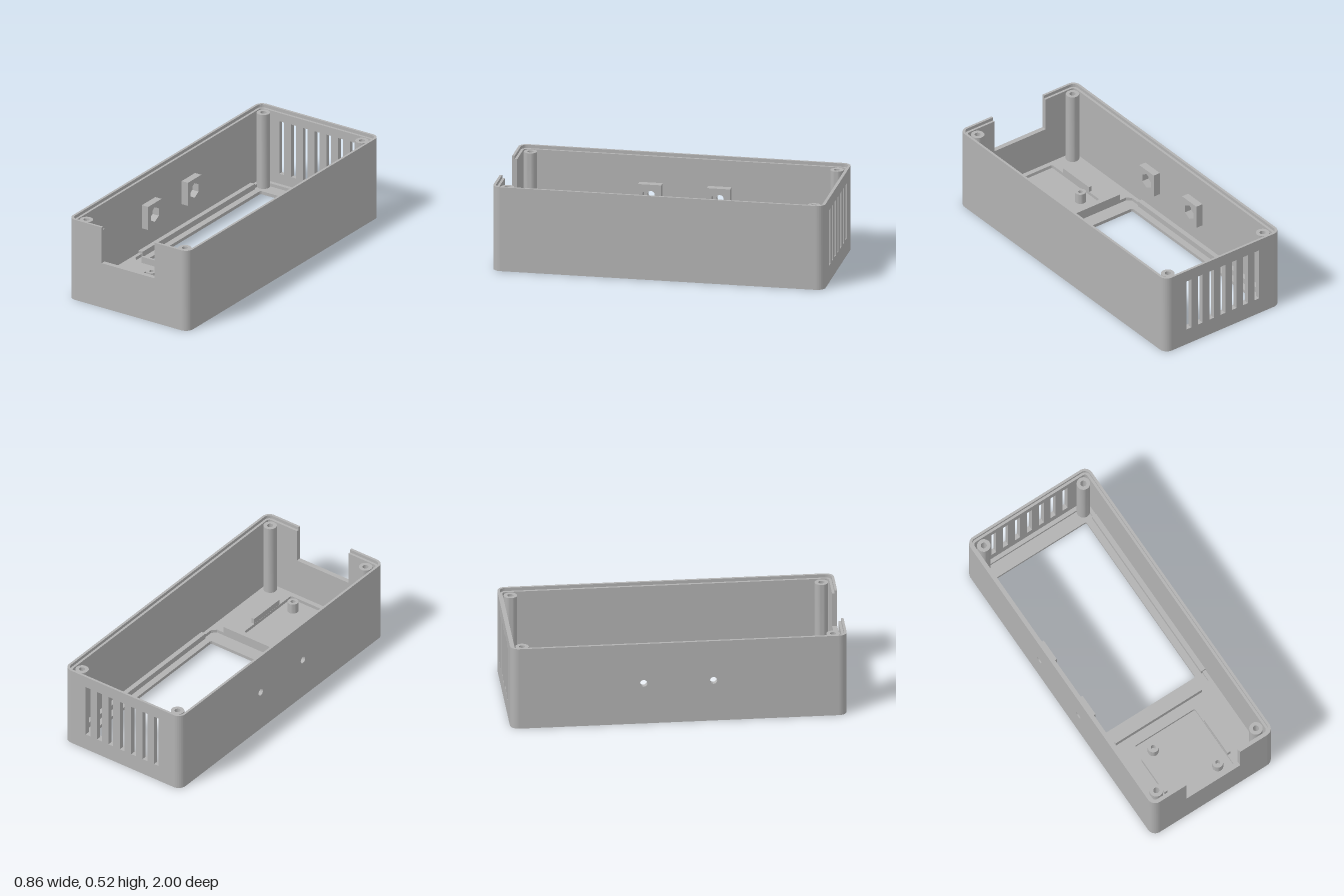
import * as THREE from 'three';
import { toCreasedNormals } from 'three/addons/utils/BufferGeometryUtils.js';

const W = 0.43, L = 1, R = 0.05, STEP = 0.015; // half width, half length, corner radius, half wall thickness
const RIM = 0.52, LEDGE = 0.5, FLOOR = 0.04, BASE = 0.02;

export function createModel() {
  const model = new THREE.Group();
  model.name = 'enclosure';
  const grey = new THREE.MeshStandardMaterial({ color: 0xb2b2b2 });
  grey.name = 'grey plastic';

  const add = (name, geometry) => {
    const mesh = new THREE.Mesh(toCreasedNormals(geometry, 0.6), grey);
    mesh.name = name;
    model.add(mesh);
    return mesh;
  };
  const extrude = (shape, depth) =>
    new THREE.ExtrudeGeometry(shape, { depth, bevelEnabled: false, curveSegments: 10 });
  // Horizontal plate: shape (x, z) filling heights y0..y1
  const plate = (name, shape, y0, y1) =>
    add(name, extrude(shape, y1 - y0).rotateX(Math.PI / 2).translate(0, y1, 0));
  // Side panel: shape (z, y) filling x0..x1
  const sidePanel = (name, shape, x0, x1) =>
    add(name, extrude(shape, x1 - x0).rotateY(-Math.PI / 2).translate(x1, 0, 0));
  const box = (name, x0, x1, y0, y1, z0, z1) =>
    add(name, new THREE.BoxGeometry(x1 - x0, y1 - y0, z1 - z0)
      .translate((x0 + x1) / 2, (y0 + y1) / 2, (z0 + z1) / 2));

  const poly = (pts) => new THREE.Shape(pts.map(([x, y]) => new THREE.Vector2(x, y)));
  const rect = (x0, x1, y0, y1) => poly([[x0, y0], [x1, y0], [x1, y1], [x0, y1]]);
  const circle = (x, y, r) => new THREE.Shape().absarc(x, y, r, 0, Math.PI * 2, false);
  const hexagon = (x, y, r) => poly(Array.from({ length: 6 }, (_, i) => {
    const a = Math.PI / 6 + i * Math.PI / 3;
    return [x + r * Math.cos(a), y + r * Math.sin(a)];
  }));
  const roundRect = (x0, x1, y0, y1, r) => {
    const s = new THREE.Shape();
    s.absarc(x1 - r, y1 - r, r, 0, Math.PI / 2, false);
    s.absarc(x0 + r, y1 - r, r, Math.PI / 2, Math.PI, false);
    s.absarc(x0 + r, y0 + r, r, Math.PI, Math.PI * 1.5, false);
    s.absarc(x1 - r, y0 + r, r, Math.PI * 1.5, Math.PI * 2, false);
    s.closePath();
    return s;
  };
  const cut = (shape, ...holes) => { shape.holes.push(...holes); return shape; };

  // Walls in two skins: the outer one rises above the inner to form the lid ledge
  const nutZ = [-0.21, 0.205], nutY = 0.262;
  const cx = W - R, cz = L - R;
  [['outer', 0, RIM], ['inner', STEP, LEDGE]].forEach(([skin, inset, h]) => {
    const xo = W - inset, zo = L - inset, ro = R - inset;

    const slots = Array.from({ length: 7 }, (_, i) => {
      const x = (i - 3) * 0.0842;
      return rect(x - 0.0175, x + 0.0175, 0.105, 0.447);
    });
    add(skin + 'BackWall', extrude(cut(rect(-cx, cx, 0, h), ...slots), STEP).translate(0, 0, -zo));

    const front = poly([[-cx, 0], [cx, 0], [cx, h], [0.19, h], [0.19, 0.288],
      [-0.19, 0.288], [-0.19, h], [-cx, h]]);
    add(skin + 'FrontWall', extrude(front, STEP).translate(0, 0, zo - STEP));

    sidePanel(skin + 'LeftWall', rect(-cz, cz, 0, h), xo - STEP, xo);
    sidePanel(skin + 'RightWall',
      cut(rect(-cz, cz, 0, h), ...nutZ.map((z) => circle(z, nutY, 0.022))), -xo, -xo + STEP);

    // Rounded corners
    [[1, 1], [-1, 1], [-1, -1], [1, -1]].forEach(([sx, sz], i) => {
      const a = i * Math.PI / 2, b = a + Math.PI / 2, s = new THREE.Shape();
      s.absarc(sx * cx, sz * cz, ro, a, b, false);
      s.absarc(sx * cx, sz * cz, ro - STEP, b, a, true);
      s.closePath();
      plate(skin + 'Corner', s, 0, h);
    });
  });

  // Floor: grooved underside, window layer, then a top layer with display and module pockets
  const floorShape = () => roundRect(-W + 2 * STEP, W - 2 * STEP, -L + 2 * STEP, L - 2 * STEP, R - 2 * STEP);
  const windowHole = () => roundRect(-0.33, 0.33, -0.86, 0.31, 0.012);
  const grooveZ = 0.71;
  plate('floorUnderside', cut(floorShape(), windowHole(), circle(0, grooveZ, 0.112)), 0, 0.01);
  plate('floorMiddle', cut(floorShape(), windowHole()), 0.01, BASE);
  [[0.098, 0.078], [0.062, 0.044], [0.03, 0.014]].forEach(([ro, ri]) =>
    plate('undersideRing', cut(circle(0, grooveZ, ro), circle(0, grooveZ, ri)), 0, 0.01));
  const displayPocket = poly([[-0.378, -0.945], [0.378, -0.945], [0.378, 0.375],
    [0.352, 0.4], [-0.352, 0.4], [-0.378, 0.375]]);
  plate('floorTop', cut(floorShape(), displayPocket, roundRect(-0.215, 0.212, 0.48, 0.94, 0.012)), BASE, FLOOR);

  // Display rails and module rails
  box('displayFrontRail', -0.305, 0.305, FLOOR, 0.08, 0.4, 0.416);
  [-1, 1].forEach((s) => {
    const span = (a, b) => (s > 0 ? [a, b] : [-b, -a]);
    box('displaySideRail', ...span(0.37, 0.4), BASE, 0.055, -0.86, 0.31);
    box('moduleRail', ...span(0.213, 0.233), FLOOR, 0.075, 0.58, 0.83);
  });

  // Screw posts with blind holes
  const post = (name, x, z, r, hole, top, depth) => {
    const profile = [[r, BASE], [r, top], [hole, top], [hole, top - depth], [0, top - depth]]
      .map(([a, b]) => new THREE.Vector2(a, b));
    add(name, new THREE.LatheGeometry(profile, 28).toNonIndexed()).position.set(x, 0, z);
  };
  [-0.353, 0.353].forEach((x) => [-0.925, 0.922].forEach((z) =>
    post('cornerPost', x, z, 0.04, 0.018, LEDGE, 0.2)));
  [[-0.135, 0.56], [0.13, 0.85]].forEach(([x, z]) =>
    post('modulePost', x, z, 0.033, 0.014, 0.085, 0.05));

  // Nut holders on the right wall
  nutZ.forEach((z) => sidePanel('nutHolder',
    cut(rect(z - 0.07, z + 0.07, nutY - 0.075, nutY + 0.075), hexagon(z, nutY, 0.048)), -0.4, -0.355));

  return model;
}
